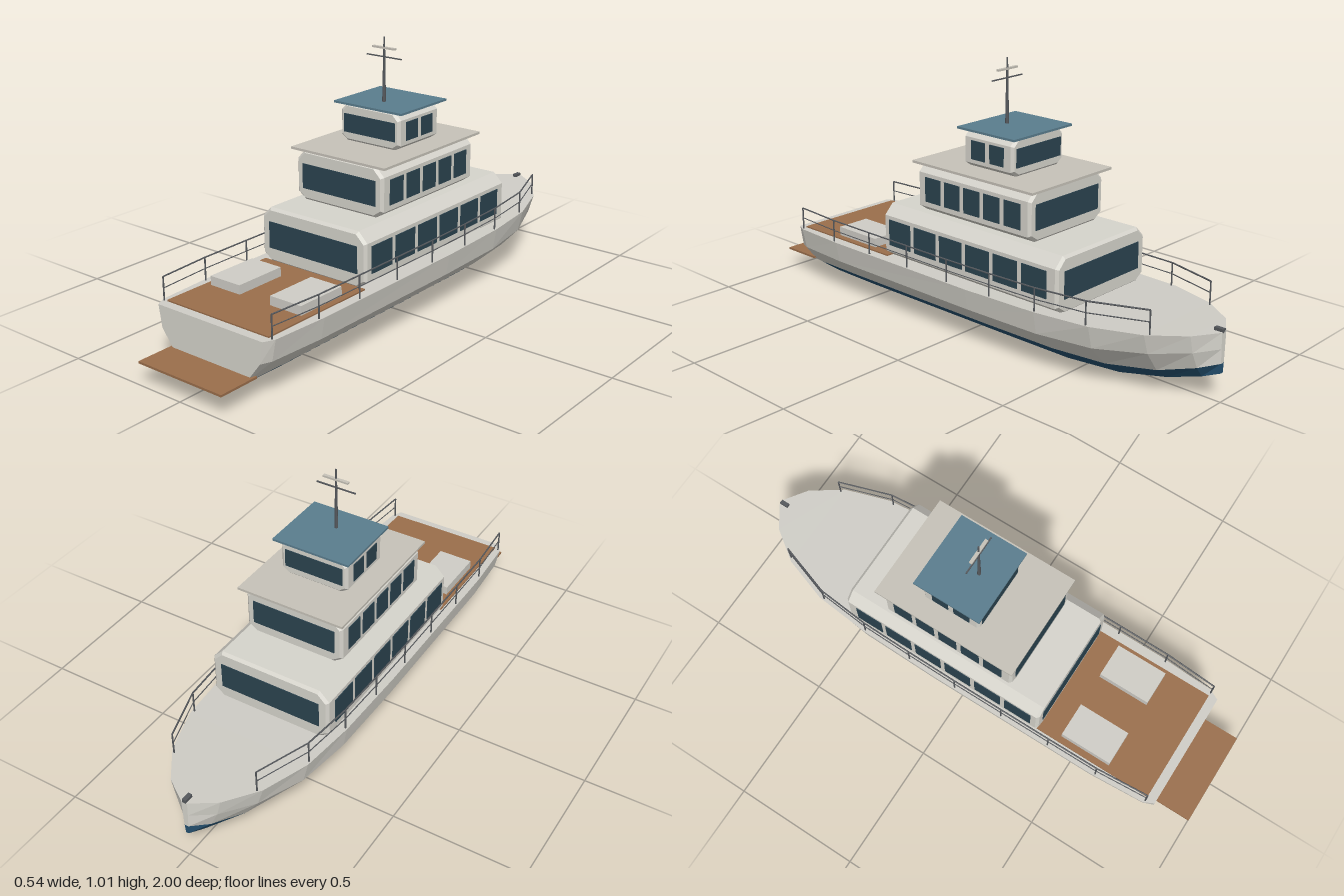
import * as THREE from 'three';

const mat = (color, extra = {}) =>
  new THREE.MeshStandardMaterial({ color, flatShading: true, ...extra });
const WHITE = mat(0xd6d4cc), BLUE = mat(0x24506f), DECK = mat(0xcfcdc6), ROOF = mat(0xc6c2b8),
  WOOD = mat(0x9a6e4b), GLASS = mat(0x2b434f), TOP = mat(0x5a7d8e), METAL = mat(0x55585c);

function add(parent, name, geometry, material, x = 0, y = 0, z = 0) {
  const m = new THREE.Mesh(geometry, material);
  m.name = name;
  m.position.set(x, y, z);
  parent.add(m);
  return m;
}

const box = (parent, name, material, w, h, d, x, y, z) =>
  add(parent, name, new THREE.BoxGeometry(w, h, d), material, x, y, z);

// Thin round bar between two points
function bar(parent, name, a, b, r) {
  const d = b.clone().sub(a);
  const m = add(parent, name, new THREE.CylinderGeometry(r, r, d.length(), 6), METAL);
  m.position.copy(a).add(b).multiplyScalar(0.5);
  m.quaternion.setFromUnitVectors(new THREE.Vector3(0, 1, 0), d.normalize());
}

// Faceted skin over several grids of [x, y, z] points
function skin(grids) {
  const pos = [];
  for (const g of grids)
    for (let i = 0; i < g.length - 1; i++)
      for (let j = 0; j < g[i].length - 1; j++) {
        const a = g[i][j], b = g[i + 1][j], c = g[i + 1][j + 1], d = g[i][j + 1];
        pos.push(...a, ...b, ...c, ...a, ...c, ...d);
      }
  const geo = new THREE.BufferGeometry();
  geo.setAttribute('position', new THREE.Float32BufferAttribute(pos, 3));
  geo.computeVertexNormals();
  return geo;
}

// Stations from stern to bow: z, then half-width and height of keel, waterline, knuckle, gunwale
const STATIONS = [
  [0.86, 0.07, 0, 0.16, 0.065, 0.222, 0.145, 0.235, 0.226],
  [0.82, 0.075, 0, 0.165, 0.065, 0.238, 0.145, 0.255, 0.226],
  [0.6, 0.08, 0, 0.168, 0.065, 0.252, 0.145, 0.268, 0.226],
  [-0.1, 0.08, 0, 0.168, 0.065, 0.255, 0.145, 0.27, 0.226],
  [-0.42, 0.078, 0, 0.165, 0.066, 0.25, 0.147, 0.265, 0.231],
  [-0.64, 0.068, 0.014, 0.15, 0.074, 0.225, 0.154, 0.245, 0.237],
  [-0.82, 0.048, 0.048, 0.108, 0.094, 0.162, 0.17, 0.185, 0.243],
  [-0.94, 0.024, 0.082, 0.055, 0.122, 0.084, 0.184, 0.1, 0.248],
  [-1, 0.005, 0.105, 0.008, 0.14, 0.01, 0.192, 0.012, 0.25],
];
const pt = (s, k, side) => [side * s[1 + 2 * k], s[2 + 2 * k], s[0]];
const across = (s, k) => [pt(s, k, -1), pt(s, k, 1)];

function gunwale(z) {
  let i = 0;
  while (i < STATIONS.length - 2 && STATIONS[i + 1][0] > z) i++;
  const a = STATIONS[i], b = STATIONS[i + 1], t = (z - a[0]) / (b[0] - a[0]);
  return [a[7] + (b[7] - a[7]) * t, a[8] + (b[8] - a[8]) * t];
}

function buildHull(parent) {
  const hull = new THREE.Group();
  hull.name = 'hull';
  parent.add(hull);
  const stern = STATIONS[0], bow = STATIONS[STATIONS.length - 1];
  add(hull, 'hullBottom', skin([
    STATIONS.map(s => [pt(s, 1, -1), pt(s, 0, -1), pt(s, 0, 1), pt(s, 1, 1)]),
    [across(stern, 1), across(stern, 0)],
    [across(bow, 0), across(bow, 1)],
  ]), BLUE);
  add(hull, 'hullTopsides', skin([
    STATIONS.map(s => [pt(s, 3, -1), pt(s, 2, -1), pt(s, 1, -1)]),
    STATIONS.map(s => [pt(s, 1, 1), pt(s, 2, 1), pt(s, 3, 1)]),
    [across(stern, 3), across(stern, 2), across(stern, 1)],
    [across(bow, 1), across(bow, 2), across(bow, 3)],
  ]), WHITE);
  add(hull, 'deck', skin([STATIONS.map(s => across(s, 3).reverse())]), DECK);
}

// Deckhouse with chamfered section, end windows and a row of side windows
function cabin(parent, name, o) {
  const g = new THREE.Group();
  g.name = name;
  parent.add(g);
  const bevel = 0.01, w = o.w - bevel, y0 = o.y0 + bevel, y1 = o.y1 - bevel, c = o.chamfer;
  const shape = new THREE.Shape([
    [-w + c, y0], [w - c, y0], [w, y0 + c * 0.7], [w, y1 - c],
    [w - c, y1], [-w + c, y1], [-w, y1 - c], [-w, y0 + c * 0.7],
  ].map(p => new THREE.Vector2(...p)));
  const geo = new THREE.ExtrudeGeometry(shape, {
    depth: o.zf - o.zb - 2 * bevel, bevelEnabled: true,
    bevelSize: bevel, bevelThickness: bevel, bevelSegments: 1,
  });
  geo.translate(0, 0, o.zb + bevel);
  add(g, name + 'Walls', geo, WHITE);
  const wy = (o.win[0] + o.win[1]) / 2, wh = o.win[1] - o.win[0];
  for (const z of [o.zf, o.zb])
    box(g, 'endWindow', GLASS, o.endW * 2, wh, 0.006, 0, wy, z);
  for (const side of [-1, 1])
    for (let i = 0; i < o.count; i++)
      box(g, 'sideWindow', GLASS, 0.006, wh, o.paneW, side * o.w, wy, o.first - i * o.step);
}

function buildRailings(parent) {
  for (const side of [-1, 1]) {
    const rail = new THREE.Group();
    rail.name = side > 0 ? 'leftRailing' : 'rightRailing';
    parent.add(rail);
    let last = null;
    for (let i = 0; i < 9; i++) {
      const z = 0.825 - i * 0.207, [x, y] = gunwale(z);
      const at = h => new THREE.Vector3(side * (x - 0.008), y + h, z);
      const p = [at(0), at(0.044), at(0.085)];
      bar(rail, 'railPost', p[0], p[2], 0.003);
      if (last) {
        bar(rail, 'middleRail', last[1], p[1], 0.002);
        bar(rail, 'topRail', last[2], p[2], 0.003);
      }
      last = p;
    }
  }
}

export function createModel() {
  const boat = new THREE.Group();
  boat.name = 'boat';
  buildHull(boat);

  // Aft deck, lockers and swim platform
  box(boat, 'aftDeck', WOOD, 0.46, 0.008, 0.48, 0, 0.227, 0.585);
  for (const side of [-1, 1])
    box(boat, 'deckLocker', DECK, 0.136, 0.036, 0.206, side * 0.138, 0.247, 0.542);
  box(boat, 'swimPlatform', WOOD, 0.376, 0.008, 0.16, 0, 0.082, 0.92);

  // Three stacked deckhouses
  cabin(boat, 'mainCabin', {
    w: 0.238, y0: 0.226, y1: 0.432, zf: 0.35, zb: -0.5, chamfer: 0.032,
    win: [0.28, 0.38], endW: 0.201, count: 6, first: 0.262, step: 0.132, paneW: 0.112,
  });
  cabin(boat, 'upperCabin', {
    w: 0.196, y0: 0.43, y1: 0.618, zf: 0.205, zb: -0.34, chamfer: 0.03,
    win: [0.475, 0.568], endW: 0.166, count: 5, first: 0.126, step: 0.0965, paneW: 0.076,
  });
  cabin(boat, 'wheelhouse', {
    w: 0.135, y0: 0.622, y1: 0.764, zf: 0.03, zb: -0.205, chamfer: 0.022,
    win: [0.657, 0.726], endW: 0.116, count: 2, first: -0.042, step: 0.089, paneW: 0.066,
  });
  box(boat, 'upperCabinRoof', ROOF, 0.424, 0.009, 0.58, 0, 0.62, -0.075);
  box(boat, 'wheelhouseRoof', TOP, 0.306, 0.008, 0.272, 0, 0.766, -0.092);

  // Mast with crossbar and radar scanner
  const mast = new THREE.Group();
  mast.name = 'mast';
  mast.position.z = -0.055;
  boat.add(mast);
  add(mast, 'mastPole', new THREE.CylinderGeometry(0.003, 0.007, 0.24, 8), METAL, 0, 0.888, 0);
  box(mast, 'crossbar', METAL, 0.156, 0.004, 0.005, 0, 0.935, 0);
  box(mast, 'radarScanner', ROOF, 0.1, 0.007, 0.012, 0, 0.968, 0);

  buildRailings(boat);
  box(boat, 'bowRoller', METAL, 0.016, 0.014, 0.034, 0, 0.253, -0.983);
  return boat;
}
